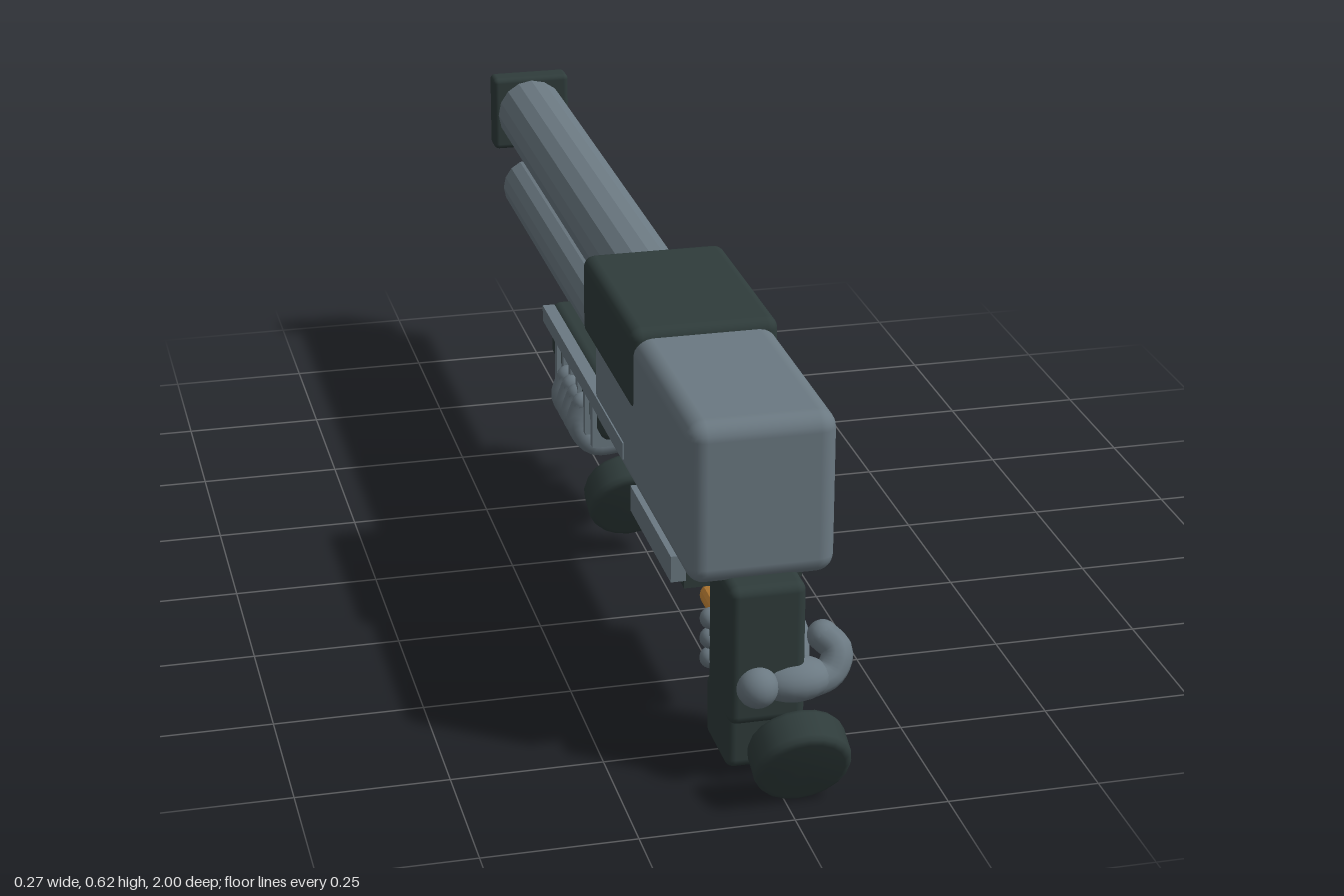
import * as THREE from 'three';
import { RoundedBoxGeometry } from 'three/addons/geometries/RoundedBoxGeometry.js';

const steel = new THREE.MeshStandardMaterial({ name: 'steelGrey', color: 0x6b7982 });
const dark = new THREE.MeshStandardMaterial({ name: 'darkGreenGrey', color: 0x2f3c3b });
const brass = new THREE.MeshStandardMaterial({ name: 'orangeBrass', color: 0xcc8b3a });

const MID = -0.0125; // x of the weapon's centre plane

export function createModel() {
  const root = new THREE.Group();
  root.name = 'pumpShotgun';

  const add = (name, geo, mat, parent = root) => {
    const mesh = new THREE.Mesh(geo, mat);
    mesh.name = name;
    parent.add(mesh);
    return mesh;
  };
  // Box from min/max ranges; r > 0 rounds its edges
  const box = (name, [x0, x1], [y0, y1], [z0, z1], mat, r = 0) => {
    const s = [x1 - x0, y1 - y0, z1 - z0];
    const geo = r ? new RoundedBoxGeometry(...s, 3, r) : new THREE.BoxGeometry(...s);
    geo.translate((x0 + x1) / 2, (y0 + y1) / 2, (z0 + z1) / 2);
    return add(name, geo, mat);
  };
  // Faceted cylinder along z
  const rod = (name, r, y, [z0, z1], mat, sides = 16) => {
    let geo = new THREE.CylinderGeometry(r, r, z1 - z0, sides).toNonIndexed();
    geo.computeVertexNormals();
    geo.rotateX(Math.PI / 2).translate(MID, y, (z0 + z1) / 2);
    return add(name, geo, mat);
  };
  // Round-ended tube through a few points
  const finger = (name, pts, r, parent) => {
    const v = pts.map((p) => new THREE.Vector3(...p));
    const g = new THREE.Group();
    g.name = name;
    parent.add(g);
    add(name + 'Bend', new THREE.TubeGeometry(new THREE.CatmullRomCurve3(v), 14, r, 10), steel, g);
    for (const end of [v[0], v[v.length - 1]]) {
      add(name + 'End', new THREE.SphereGeometry(r, 12, 8), steel, g).position.copy(end);
    }
  };
  const blob = (name, pos, size, parent) => {
    const m = add(name, new THREE.SphereGeometry(1, 18, 12), steel, parent);
    m.position.set(...pos);
    m.scale.set(...size);
  };

  // Receiver and top cover
  box('receiver', [-0.132, 0.108], [0.34, 0.615], [0.15, 0.838], steel, 0.03);
  box('topCover', [-0.137, 0.113], [0.485, 0.63], [0.09, 0.468], dark, 0.02);
  box('ejectionPort', [0.1, 0.113], [0.44, 0.55], [0.43, 0.633], dark);
  box('bolt', [0.1, 0.122], [0.462, 0.525], [0.435, 0.55], steel);

  // Barrel, magazine tube and muzzle
  rod('barrel', 0.068, 0.547, [-0.97, 0.2], steel);
  rod('magazineTube', 0.056, 0.385, [-0.975, 0.3], steel);
  box('muzzle', [-0.089, 0.064], [0.474, 0.622], [-1, -0.953], dark, 0.01);
  box('tubeBracket', [-0.085, 0.06], [0.4, 0.435], [0.1, 0.25], steel);

  // Loading gate and its rails under the receiver
  box('loadingGate', [-0.11, 0.085], [0.285, 0.345], [0.455, 0.72], dark);
  for (const s of [-1, 1]) {
    const at = (a, b) => [MID + s * a, MID + s * b].sort((p, q) => p - q);
    box('gateRail', at(0.097, 0.122), [0.303, 0.348], [0.447, 0.73], steel);
    box('actionBar', at(0.1, 0.122), [0.37, 0.4], [-0.265, 0.39], steel);
  }

  // Pump with ribs
  box('pump', [-0.1, 0.075], [0.262, 0.37], [-0.365, 0.075], dark, 0.018);
  for (let i = 0; i < 6; i++) {
    const z = 0.027 - i * 0.061;
    box('pumpRib', [-0.108, 0.084], [0.238, 0.357], [z - 0.009, z + 0.009], steel);
  }

  // Grip, trigger guard and shell
  box('grip', [-0.075, 0.05], [0.11, 0.35], [0.735, 0.875], dark, 0.016);
  box('gripBase', [-0.075, 0.05], [0.026, 0.14], [0.725, 0.86], dark, 0.016);
  box('triggerGuardBottom', [-0.025, 0], [0.204, 0.215], [0.642, 0.74], steel);
  box('triggerGuardFront', [-0.025, 0], [0.204, 0.29], [0.642, 0.653], steel);
  rod('shell', 0.022, 0.172, [0.525, 0.65], brass);

  // Hand on the grip
  const gripHand = new THREE.Group();
  gripHand.name = 'gripHand';
  root.add(gripHand);
  blob('palm', [0.035, 0.175, 0.855], [0.062, 0.036, 0.045], gripHand);
  blob('knuckle', [-0.03, 0.178, 0.876], [0.034, 0.034, 0.034], gripHand);
  finger('thumb', [[0.06, 0.168, 0.86], [0.096, 0.177, 0.85], [0.112, 0.205, 0.835], [0.095, 0.222, 0.81]], 0.026, gripHand);
  for (const y of [0.155, 0.19, 0.225]) {
    finger('finger', [[0.05, 0.175, 0.83], [0.062, y, 0.77], [0.045, y + 0.01, 0.728], [-0.01, y + 0.01, 0.724], [-0.07, y + 0.01, 0.735]], 0.018, gripHand);
  }

  // Hand under the pump
  const pumpHand = new THREE.Group();
  pumpHand.name = 'pumpHand';
  root.add(pumpHand);
  blob('palm', [-0.02, 0.212, -0.125], [0.075, 0.042, 0.085], pumpHand);
  finger('thumb', [[0.02, 0.2, -0.06], [0.06, 0.212, -0.09], [0.065, 0.235, -0.15], [0.06, 0.245, -0.19]], 0.022, pumpHand);
  for (let i = 0; i < 4; i++) {
    const z = -0.06 - i * 0.044;
    finger('finger', [[-0.03, 0.205, z], [-0.085, 0.205, z], [-0.114, 0.245, z], [-0.104, 0.285, z]], 0.021, pumpHand);
  }

  // Sleeve cuffs: short drums with softened rims
  const rim = [[0, -0.034], [0.066, -0.034], [0.075, -0.03], [0.079, -0.022], [0.079, 0.022], [0.075, 0.03], [0.066, 0.034], [0, 0.034]]
    .map((p) => new THREE.Vector2(...p));
  for (const [x, y, z] of [[0.022, 0.086, 0.94], [-0.036, 0.131, 0.013]]) {
    const cuff = add('sleeveCuff', new THREE.LatheGeometry(rim, 20), dark);
    cuff.position.set(x, y, z);
    cuff.rotation.x = -1.14;
  }
  return root;
}
